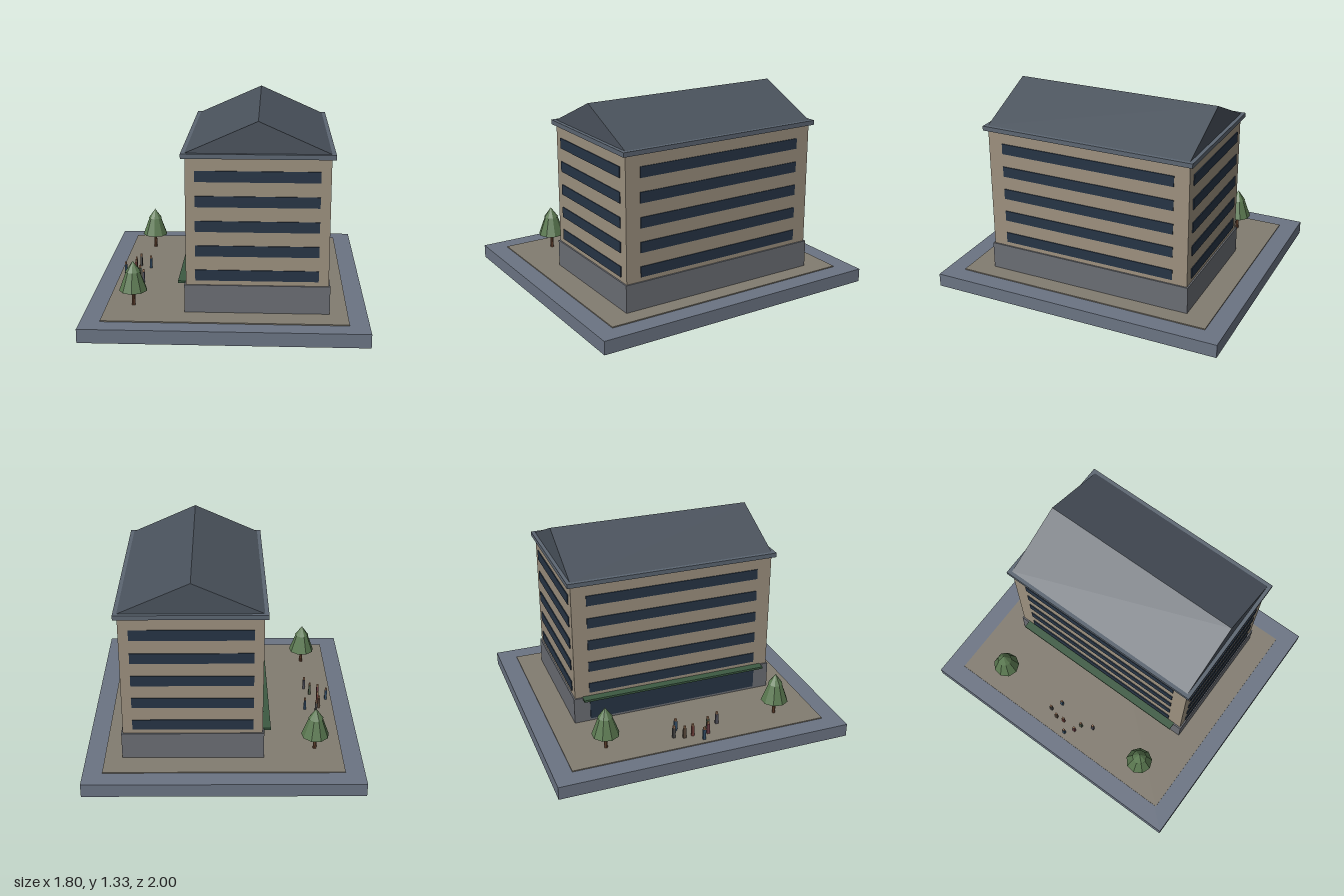
import * as THREE from 'three';

const mat = (color) => new THREE.MeshStandardMaterial({ color, flatShading: true });
const M = {
  plinth: mat(0x6b7483), paving: mat(0x827c70), podium: mat(0x6a6d73), wall: mat(0x9c907e),
  glass: mat(0x263445), eave: mat(0x5c6672), roof: mat(0x4a525c), awning: mat(0x3c5a42),
  leaf: mat(0x5a7850), trunk: mat(0x6e4a35), skin: mat(0x9a7458),
};

function add(parent, name, geometry, material, x = 0, y = 0, z = 0) {
  const mesh = new THREE.Mesh(geometry, material);
  mesh.name = name;
  mesh.position.set(x, y, z);
  parent.add(mesh);
  return mesh;
}

// Box given by its centre in plan, its footprint and its bottom and top heights
function box(parent, name, material, x, z, w, d, y0, y1) {
  return add(parent, name, new THREE.BoxGeometry(w, y1 - y0, d), material, x, (y0 + y1) / 2, z);
}

function makeTree(z) {
  const tree = new THREE.Group();
  tree.name = 'tree';
  tree.position.set(-0.6, 0.095, z);
  add(tree, 'trunk', new THREE.CylinderGeometry(0.01, 0.012, 0.11, 8), M.trunk, 0, 0.055);
  add(tree, 'lowerFoliage', new THREE.CylinderGeometry(0.042, 0.092, 0.135, 9), M.leaf, 0, 0.1725);
  add(tree, 'upperFoliage', new THREE.ConeGeometry(0.05, 0.07, 9), M.leaf, 0, 0.267);
  return tree;
}

function makePerson(x, z, color) {
  const person = new THREE.Group();
  person.name = 'person';
  box(person, 'body', mat(color), x, z, 0.015, 0.02, 0.095, 0.17);
  box(person, 'head', M.skin, x, z, 0.012, 0.014, 0.17, 0.188);
  return person;
}

export function createModel() {
  const model = new THREE.Group();
  model.name = 'officeBuilding';
  const cx = 0.2;

  // Ground
  box(model, 'basePlinth', M.plinth, 0, 0, 1.8, 2, 0, 0.09);
  box(model, 'paving', M.paving, 0, 0, 1.55, 1.75, 0.09, 0.097);

  // Building mass
  box(model, 'podium', M.podium, cx, 0, 0.92, 1.42, 0.09, 0.28);
  box(model, 'upperFloors', M.wall, cx, 0, 0.9, 1.4, 0.28, 1.1);
  box(model, 'eaveSlab', M.eave, cx, 0, 0.95, 1.45, 1.1, 1.13);

  // Gabled roof, ridge running along z
  const gable = new THREE.Shape([
    new THREE.Vector2(-0.45, 0), new THREE.Vector2(0.45, 0), new THREE.Vector2(0, 0.2),
  ]);
  const roof = new THREE.ExtrudeGeometry(gable, { depth: 1.4, bevelEnabled: false });
  add(model, 'gableRoof', roof, M.roof, cx, 1.13, -0.7);

  // Window bands on all four sides of every floor
  for (let floor = 0; floor < 5; floor++) {
    const y0 = 0.31 + floor * 0.16, y1 = y0 + 0.07;
    for (const s of [-1, 1]) {
      box(model, 'endWindowBand', M.glass, cx - 0.002, s * 0.7, 0.776, 0.012, y0, y1);
      box(model, 'sideWindowBand', M.glass, cx + s * 0.45, 0, 0.012, 1.2, y0, y1);
    }
  }

  // Shop front and awning on the street side
  box(model, 'shopFront', M.glass, -0.26, 0, 0.012, 1.2, 0.115, 0.26);
  box(model, 'awning', M.awning, -0.275, 0, 0.06, 1.3, 0.27, 0.285);

  // Trees
  for (const z of [-0.6, 0.6]) model.add(makeTree(z));

  // People on the forecourt
  const people = [
    [-0.65, -0.15, 0x4a4a4a], [-0.575, -0.11, 0x34506a], [-0.675, -0.085, 0x5a4a3c],
    [-0.67, -0.025, 0x74403c], [-0.735, 0.03, 0x34506a], [-0.68, 0.08, 0x704048],
    [-0.625, 0.1, 0x4c5a48], [-0.59, 0.18, 0x50505c],
  ];
  for (const [x, z, color] of people) model.add(makePerson(x, z, color));

  return model;
}
